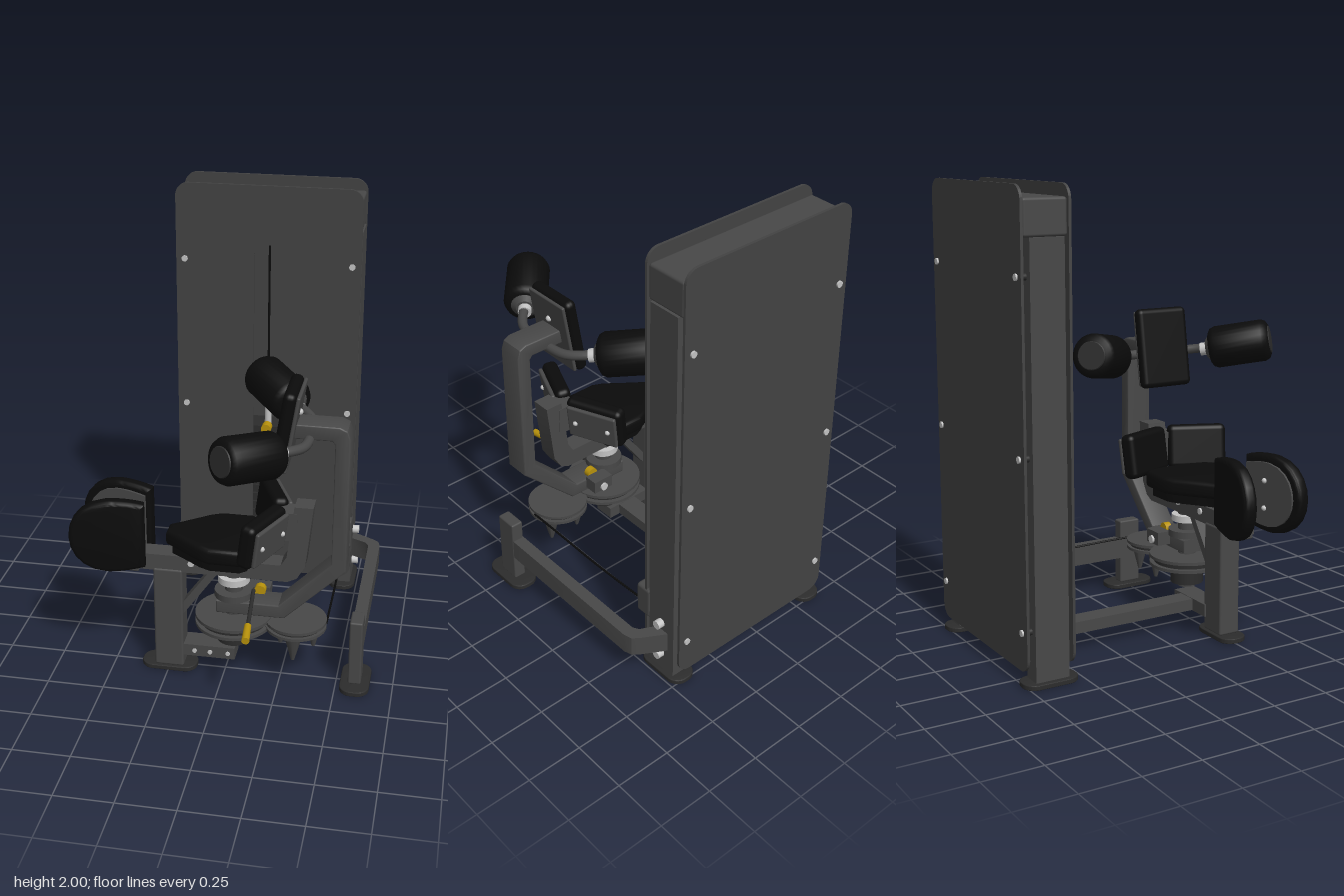
import * as THREE from 'three';
import { toCreasedNormals } from 'three/addons/utils/BufferGeometryUtils.js';
import { RoundedBoxGeometry } from 'three/addons/geometries/RoundedBoxGeometry.js';

const paint = (name, color) => Object.assign(new THREE.MeshStandardMaterial({ color }), { name });
const frame = paint('frame grey', 0x484848);
const panel = paint('panel grey', 0x434343);
const pad = paint('upholstery black', 0x0b0b0b);
const dark = paint('dark metal', 0x2c2c2c);
const silver = paint('bolt silver', 0xc4c4c4);
const yellow = paint('grip yellow', 0xb8920c);
const MID = 0.258; // symmetry plane (z) of the seat and arms

const V = (x, y, z) => new THREE.Vector3(x, y, z);

export function createModel() {
  const root = new THREE.Group();
  root.name = 'torsoRotationMachine';

  const add = (name, geo, mat, pos = [0, 0, 0], parent = root) => {
    const m = new THREE.Mesh(geo, mat);
    m.name = name;
    m.position.set(...pos);
    parent.add(m);
    return m;
  };
  // box given by its min and max corners
  const box = (name, mat, a, b, r = 0) => {
    const s = a.map((v, i) => b[i] - v);
    const geo = r ? new RoundedBoxGeometry(...s, 2, r) : new THREE.BoxGeometry(...s);
    return add(name, geo, mat, a.map((v, i) => (v + b[i]) / 2));
  };
  // cylinder between two points
  const rod = (name, mat, a, b, r0, r1 = r0, seg = 20) => {
    const d = b.clone().sub(a);
    const m = add(name, new THREE.CylinderGeometry(r1, r0, d.length(), seg), mat, a.clone().add(b).multiplyScalar(0.5).toArray());
    m.quaternion.setFromUnitVectors(V(0, 1, 0), d.normalize());
    return m;
  };
  const poly = pts => new THREE.Shape(pts.map(p => new THREE.Vector2(...p)));
  const roundRect = (x0, y0, x1, y1, r, s = new THREE.Shape()) => {
    s.absarc(x1 - r, y1 - r, r, 0, Math.PI / 2);
    s.absarc(x0 + r, y1 - r, r, Math.PI / 2, Math.PI);
    s.absarc(x0 + r, y0 + r, r, Math.PI, Math.PI * 1.5);
    s.absarc(x1 - r, y0 + r, r, Math.PI * 1.5, Math.PI * 2);
    s.closePath();
    return s;
  };
  // extrusion centred on its depth, with optional rounded edges
  const slab = (shape, thick, bevel = 0) => {
    const g = new THREE.ExtrudeGeometry(shape, {
      depth: thick - 2 * bevel, bevelEnabled: bevel > 0, bevelSize: bevel, bevelOffset: -bevel,
      bevelThickness: bevel, bevelSegments: 3, curveSegments: 10,
    });
    g.translate(0, 0, -(thick - 2 * bevel) / 2);
    return toCreasedNormals(g, 0.6);
  };
  const flat = (shape, thick, bevel) => slab(shape, thick, bevel).rotateX(-Math.PI / 2);

  // Tower panels, the front one with a slot for the stack
  const front = roundRect(-0.375, 0.065, 0.47, 2, 0.06);
  front.holes.push(roundRect(-0.015, 0.15, 0.11, 1.73, 0.055, new THREE.Path()));
  add('frontPanel', slab(front, 0.012), panel, [0, 0, -0.546]);
  add('backPanel', slab(roundRect(-0.375, 0.065, 0.47, 2, 0.06), 0.012), panel, [0, 0, -0.752]);
  box('towerCap', frame, [-0.37, 1.8, -0.744], [0.465, 1.95, -0.553], 0.012);
  for (const x of [-0.335, 0.43]) {
    box('towerColumn', frame, [x - 0.04, 0.02, -0.72], [x + 0.04, 1.8, -0.57]);
    for (const y of [0.23, 0.94, 1.65]) {
      rod('panelSpacer', dark, V(x, y, -0.74), V(x, y, -0.556), 0.014);
      rod('panelBolt', silver, V(x, y, -0.54), V(x, y, -0.532), 0.014);
      rod('panelBolt', silver, V(x, y, -0.766), V(x, y, -0.758), 0.014);
    }
  }
  box('towerBaseBar', frame, [-0.3, 0.07, -0.69], [0.4, 0.14, -0.6]);

  // Weight stack with guide rods, cable and selector pin
  for (let i = 0; i < 15; i++)
    box('weightPlate', dark, [-0.1, 0.16 + i * 0.045, -0.7], [0.195, 0.198 + i * 0.045, -0.575]);
  for (const x of [-0.06, 0.155]) rod('guideRod', dark, V(x, 0.1, -0.64), V(x, 1.82, -0.64), 0.012);
  rod('stackCable', pad, V(0.047, 0.95, -0.6), V(0.047, 1.82, -0.6), 0.005, 0.005, 8);
  rod('stackStem', silver, V(0.047, 0.83, -0.6), V(0.047, 0.955, -0.6), 0.016);
  rod('selectorPin', yellow, V(0.047, 0.83, -0.58), V(0.047, 0.83, -0.535), 0.024);

  // Feet
  const foot = (x, z, w, d) => add('foot', flat(roundRect(-w / 2, -d / 2, w / 2, d / 2, 0.055), 0.022, 0.005), dark, [x, 0.011, z]);
  foot(-0.337, -0.645, 0.125, 0.245);
  foot(0.43, -0.645, 0.125, 0.245);
  foot(0.585, MID, 0.13, 0.24);
  foot(-0.25, MID, 0.25, 0.125);

  // Base rails and posts
  box('seatPost', frame, [-0.31, 0.02, 0.208], [-0.18, 0.51, 0.308], 0.01);
  box('baseRail', frame, [-0.1, 0.08, -0.6], [-0.005, 0.132, 0.22]);
  box('baseCrossPlate', frame, [-0.2, 0.078, 0.2], [0.05, 0.134, 0.3]);
  for (const x of [-0.13, -0.06, 0.02]) rod('baseBolt', silver, V(x, 0.106, 0.3), V(x, 0.106, 0.306), 0.01);
  box('sidePost', frame, [0.555, 0.02, 0.205], [0.612, 0.33, 0.31], 0.008);
  add('sideRail', flat(poly([[0.46, 0.69], [0.47, 0.685], [0.575, 0.625], [0.6, 0.605], [0.61, 0.57], [0.61, -0.21],
    [0.555, -0.21], [0.555, 0.56], [0.54, 0.585], [0.46, 0.625]]), 0.095), frame, [0, 0.193, 0]);
  for (const y of [0.11, 0.28]) rod('columnBolt', silver, V(0.47, y, -0.645), V(0.5, y, -0.645), 0.02);
  add('postBrace', slab(poly([[-0.19, 0.27], [-0.19, 0.33], [-0.06, 0.51], [-0.02, 0.51]]), 0.06), frame, [0, 0, MID]);

  // Seat frame rising behind the seat
  add('seatFrame', slab(poly([[-0.42, 0.5], [0.28, 0.5], [0.32, 0.52], [0.355, 0.58], [0.385, 0.86], [0.305, 0.86],
    [0.275, 0.62], [0.25, 0.577], [-0.4, 0.577], [-0.42, 0.56]]), 0.09), frame, [0, 0, MID]);
  box('legPadBracket', frame, [-0.42, 0.48, 0.215], [-0.375, 0.7, 0.3], 0.008);
  for (const x of [-0.14, 0.04]) for (const s of [-1, 1])
    rod('frameBolt', silver, V(x, 0.548, MID + s * 0.045), V(x, 0.548, MID + s * 0.053), 0.014);

  // Saddle seat, narrow at the front
  const half = [[-0.25, 0.035], [-0.2, 0.07], [-0.09, 0.155], [-0.04, 0.178], [0.1, 0.178], [0.13, 0.15], [0.148, 0.06]];
  const seatShape = poly([...half.map(([x, z]) => [x, -z]), ...half.slice().reverse()]);
  add('seatCushion', flat(seatShape, 0.075, 0.02), pad, [0, 0.658, MID]);
  const basePlate = add('seatBase', flat(seatShape, 0.045), pad, [0.0, 0.605, MID]);
  basePlate.scale.set(0.9, 1, 0.85);

  // Leg pads: D-shaped cushions with inner plates
  const dShape = (k) => {
    const s = new THREE.Shape();
    s.moveTo(0, 0.15 * k);
    s.bezierCurveTo(-0.05, 0.165 * k, -0.12 * k, 0.172 * k, -0.165 * k, 0.168 * k);
    s.bezierCurveTo(-0.38 * k, 0.15 * k, -0.38 * k, -0.15 * k, -0.165 * k, -0.168 * k);
    s.bezierCurveTo(-0.12 * k, -0.17 * k, -0.05, -0.16 * k, 0, -0.145 * k);
    s.closePath();
    return s;
  };
  for (const s of [-1, 1]) {
    const g = new THREE.Group();
    g.name = s > 0 ? 'frontLegPad' : 'rearLegPad';
    g.position.set(-0.333, 0.685, MID + s * 0.077);
    g.rotation.y = s * 0.18;
    root.add(g);
    add('legCushion', slab(dShape(1), 0.06, 0.018), pad, [0, 0, 0], g);
    add('legPadPlate', slab(dShape(0.82), 0.012), frame, [-0.02, 0, -s * 0.034], g);
    for (const y of [-0.06, 0.06]) add('legPadBolt', new THREE.SphereGeometry(0.012, 10, 8), silver, [-0.13, y, -s * 0.04], g);
  }

  // Hip pads: angled pair with backing plates
  for (const s of [-1, 1]) {
    const g = new THREE.Group();
    g.name = s > 0 ? 'frontHipPad' : 'rearHipPad';
    g.position.set(0.185, 0.76, MID + s * 0.14);
    g.rotation.set(0, -s * 0.4, -0.14, 'YXZ');
    root.add(g);
    add('hipCushion', new RoundedBoxGeometry(0.07, 0.2, 0.27, 3, 0.025), pad, [-0.005, 0, 0], g);
    add('hipPlate', new RoundedBoxGeometry(0.02, 0.165, 0.24, 2, 0.009), frame, [0.04, 0, 0], g);
    for (const z of [-0.08, 0.08]) add('hipBolt', new THREE.SphereGeometry(0.012, 10, 8), silver, [0.05, 0, z], g);
  }
  box('hipPadMount', frame, [0.22, 0.7, 0.21], [0.32, 0.83, 0.305]);

  // Swing arm carrying the chest pad
  add('swingArm', slab(poly([[-0.03, 0.325], [0.27, 0.325], [0.53, 0.58], [0.53, 1.19], [0.517, 1.228], [0.485, 1.243],
    [0.29, 1.243], [0.29, 1.18], [0.455, 1.18], [0.468, 1.165], [0.468, 0.61], [0.245, 0.385], [-0.03, 0.385]]), 0.12, 0.006), frame, [0, 0, MID]);
  const chest = new THREE.Group();
  chest.name = 'chestPad';
  chest.position.set(0.272, 1.22, MID + 0.004);
  chest.rotation.z = -0.16;
  root.add(chest);
  add('chestCushion', new RoundedBoxGeometry(0.055, 0.36, 0.255, 3, 0.024), pad, [-0.01, 0, 0], chest);
  add('chestPlate', new RoundedBoxGeometry(0.016, 0.34, 0.235, 2, 0.007), frame, [0.025, 0, 0], chest);
  add('chestBolt', new THREE.SphereGeometry(0.014, 10, 8), silver, [0.033, 0.065, 0], chest);

  // Arm rollers on a curved bar
  const bar = new THREE.CatmullRomCurve3([[0.265, 1.2, 0.247], [0.31, 1.192, 0.205], [0.35, 1.183, 0.14], [0.362, 1.18, 0],
    [0.35, 1.183, -0.14], [0.31, 1.192, -0.205], [0.265, 1.2, -0.247]].map(p => V(p[0], p[1], MID + p[2])));
  add('rollerBar', new THREE.TubeGeometry(bar, 40, 0.021, 12), frame);
  const profile = [[0, -0.14], [0.07, -0.14], [0.088, -0.13], [0.097, -0.11], [0.097, 0.11], [0.088, 0.13], [0.07, 0.14], [0, 0.14]];
  const rollerGeo = toCreasedNormals(new THREE.LatheGeometry(profile.map(p => new THREE.Vector2(...p)), 28), 0.7);
  for (const s of [-1, 1]) {
    const inner = V(0.24, 1.203, MID + s * 0.277), outer = V(0.09, 1.243, MID + s * 0.452);
    const dir = outer.clone().sub(inner).normalize();
    const at = t => inner.clone().addScaledVector(dir, t);
    const r = add('armRoller', rollerGeo, pad, at(0.118).toArray());
    r.quaternion.setFromUnitVectors(V(0, 1, 0), dir);
    rod('rollerCapInner', frame, at(-0.04), at(-0.018), 0.04, 0.068, 24);
    rod('rollerCapOuter', dark, at(0.255), at(0.262), 0.066, 0.06, 24);
    rod('rollerCollar', silver, at(-0.068), at(-0.035), 0.03);
  }

  // Pivot, cam disc and cable pulley
  rod('pivotShaft', frame, V(0.04, 0.15, MID), V(0.04, 0.5, MID), 0.04);
  rod('pivotCollar', silver, V(0.04, 0.46, MID), V(0.04, 0.49, MID), 0.07);
  rod('pivotFlange', frame, V(0.04, 0.39, MID), V(0.04, 0.42, MID), 0.085);
  rod('camHub', dark, V(0.04, 0.17, MID), V(0.04, 0.25, MID), 0.075);
  for (const y of [0.255, 0.292]) rod('camDisc', frame, V(0.04, y, MID), V(0.04, y + 0.014, MID), 0.17, 0.17, 40);
  rod('camCore', dark, V(0.04, 0.262, MID), V(0.04, 0.3, MID), 0.15, 0.15, 32);
  for (const y of [0.26, 0.288]) rod('pulleyDisc', frame, V(0.315, y, MID), V(0.315, y + 0.013, MID), 0.135, 0.135, 40);
  rod('pulleyCore', dark, V(0.315, 0.262, MID), V(0.315, 0.295, MID), 0.12, 0.12, 32);
  for (let i = 0; i < 3; i++) {
    const a = i * Math.PI * 2 / 3 + Math.PI / 2;
    const x = 0.315 + Math.cos(a) * 0.085, z = MID + Math.sin(a) * 0.085;
    rod('pulleyLeg', frame, V(x, 0.14, z), V(x, 0.26, z), 0.008, 0.04, 8);
  }
  box('latchBracket', frame, [0.09, 0.34, 0.135], [0.19, 0.4, 0.2]);
  rod('latchBolt', silver, V(0.14, 0.36, 0.125), V(0.14, 0.36, 0.16), 0.018);

  // Adjustment lever
  rod('leverRod', dark, V(0.13, 0.43, 0.28), V(0.15, 0.405, 0.54), 0.009, 0.009, 10);
  rod('leverGrip', yellow, V(0.149, 0.406, 0.53), V(0.157, 0.398, 0.635), 0.015, 0.017, 14);
  rod('latchKnob', yellow, V(0.15, 0.4, 0.2), V(0.15, 0.4, 0.23), 0.025);

  // Cable to the tower and its guide housing
  box('cableHousing', frame, [0.42, 0.25, -0.575], [0.475, 0.4, -0.49], 0.015);
  const cable = new THREE.CatmullRomCurve3([V(0.43, 0.268, -0.52), V(0.445, 0.275, -0.2), V(0.448, 0.281, 0.08), V(0.448, 0.281, MID)]);
  add('driveCable', new THREE.TubeGeometry(cable, 20, 0.005, 6), pad);

  return root;
}
